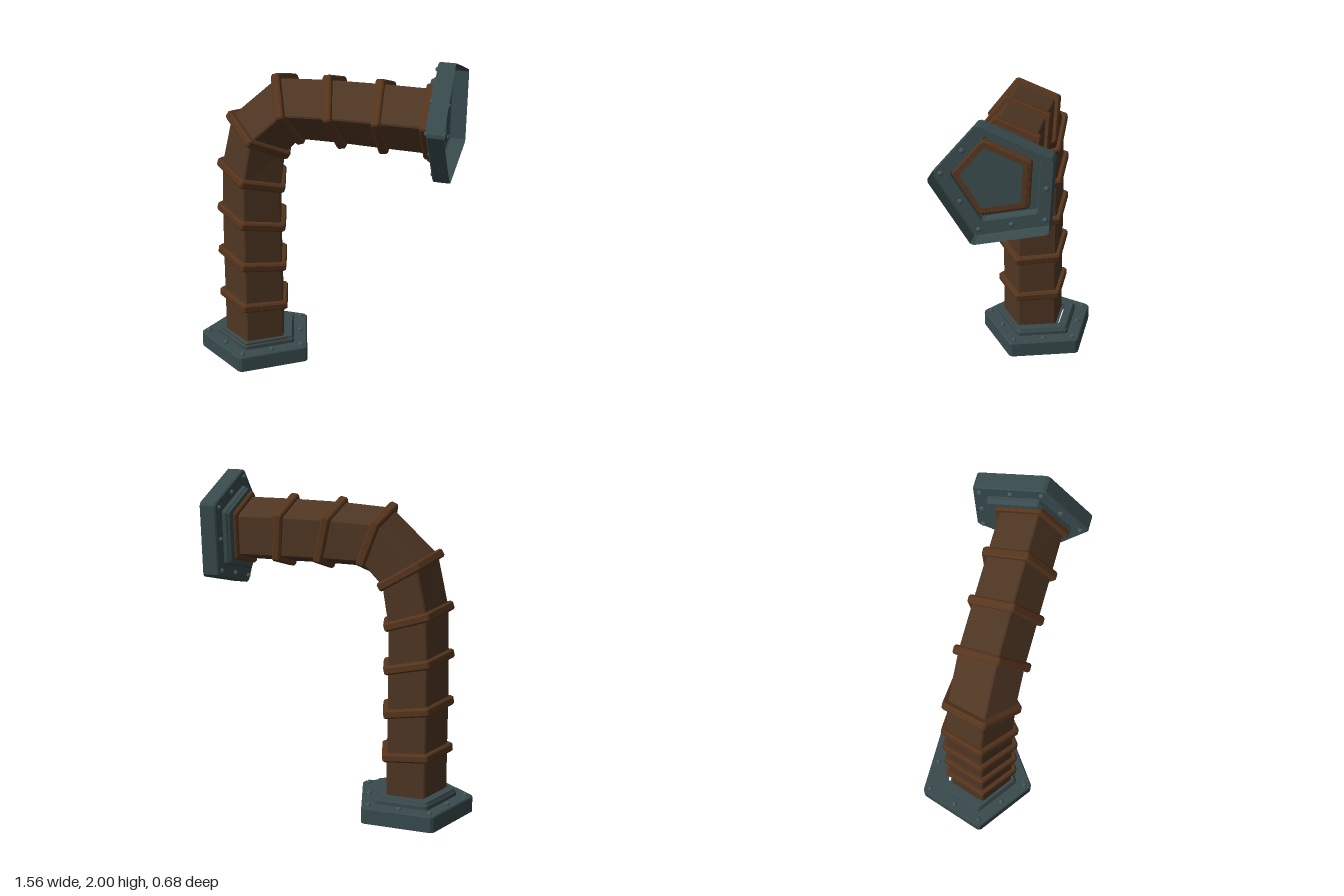
import * as THREE from 'three';

const mat = (name, color, side = THREE.FrontSide) =>
  new THREE.MeshStandardMaterial({ name, color, side, flatShading: true });

// Point i (0..9) of a pentagon with clipped corners, one corner facing +z
function pentagonPoint(i, R, twist, clip = 0.03) {
  const corner = k => {
    const a = (k * 72 + twist) * Math.PI / 180;
    return new THREE.Vector2(Math.sin(a) * R, Math.cos(a) * R);
  };
  const k = Math.floor(i / 2);
  return corner(k).lerp(corner(i % 2 ? k + 1 : k - 1), clip);
}

// Skins pentagon sections { R, x, y, tilt, twist }; tilt leans the section toward +x
function loft(sections) {
  const loops = sections.map(({ R, x = 0, y = 0, tilt = 0, twist = 0 }) => {
    const t = tilt * Math.PI / 180;
    return Array.from({ length: 10 }, (_, i) => {
      const p = pentagonPoint(i, R, twist);
      return [x + p.x * Math.cos(t), y - p.x * Math.sin(t), p.y];
    });
  });
  const pos = [];
  for (let s = 0; s < loops.length - 1; s++) {
    const a = loops[s], b = loops[s + 1];
    for (let i = 0; i < 10; i++) {
      const j = (i + 1) % 10;
      pos.push(...a[i], ...a[j], ...b[j], ...a[i], ...b[j], ...b[i]);
    }
  }
  const g = new THREE.BufferGeometry();
  g.setAttribute('position', new THREE.Float32BufferAttribute(pos, 3));
  g.computeVertexNormals();
  return g;
}

// Straight loft from [radius, height] pairs
const profile = pairs => loft(pairs.map(([R, y]) => ({ R, y })));

function addMesh(parent, name, geometry, material) {
  const m = new THREE.Mesh(geometry, material);
  m.name = name;
  parent.add(m);
  return m;
}

export function createModel() {
  const model = new THREE.Group();
  model.name = 'pentagonalPipe';
  const pipeBrown = mat('pipe brown', 0x4f3623, THREE.DoubleSide);
  const bandBrown = mat('band brown', 0x56351d);
  const steel = mat('dark steel', 0x384a4d, THREE.DoubleSide);
  const rivetSteel = mat('rivet steel', 0x45575b);

  // Bent pipe: a section at each band, straight between them
  const stations = [
    { x: -0.435, y: 0.125, tilt: 0 },
    { x: -0.435, y: 0.38, tilt: 5 },
    { x: -0.438, y: 0.658, tilt: 9.5 },
    { x: -0.437, y: 0.934, tilt: 13 },
    { x: -0.433, y: 1.205, tilt: 18 },
    { x: -0.383, y: 1.467, tilt: 31 },
    { x: -0.196, y: 1.645, tilt: 69 },
    { x: 0.085, y: 1.654, tilt: 77.5, twist: -1 },
    { x: 0.365, y: 1.653, tilt: 86, twist: -2 },
    { x: 0.655, y: 1.65, tilt: 90, twist: -3 },
  ];
  addMesh(model, 'pipe', loft(stations.map(s => ({ R: 0.202, ...s }))), pipeBrown);

  // Raised bands around the pipe
  const bandGeo = profile([
    [0.19, -0.026], [0.226, -0.026], [0.236, -0.016],
    [0.236, 0.016], [0.226, 0.026], [0.19, 0.026],
  ]);
  const placeBand = (name, { x, y, tilt, twist = 0 }) => {
    const pivot = new THREE.Group();
    pivot.name = name;
    pivot.position.set(x, y, 0);
    pivot.rotation.z = -tilt * Math.PI / 180;
    addMesh(pivot, 'bandRing', bandGeo, bandBrown).rotation.y = twist * Math.PI / 180;
    model.add(pivot);
  };
  stations.slice(1, -1).forEach((s, i) => placeBand('band' + (i + 1), s));
  placeBand('endBand', { x: 0.642, y: 1.65, tilt: 90, twist: -3 });

  // Hollow flange with stepped collar, inner trim, cover panel and rivets
  const flangeGeo = profile([
    [0.372, 0], [0.372, 0.092], [0.364, 0.1], [0.27, 0.1],
    [0.27, 0.122], [0.262, 0.13], [0.255, 0.143], [0.195, 0.143],
  ]);
  const trimGeo = profile([
    [0.205, 0.118], [0.226, 0.112], [0.238, 0.118], [0.238, 0.138],
  ].map(([R, y]) => [R, y]));
  const panelGeo = profile([[0.21, 0.12], [0.0001, 0.12]]);
  const rivetGeo = new THREE.SphereGeometry(0.016, 8, 6);

  function makeFlange(name, twist) {
    const pivot = new THREE.Group();
    pivot.name = name;
    const body = new THREE.Group();
    body.name = 'flangeBody';
    body.position.z = -0.032;
    body.rotation.y = twist * Math.PI / 180;
    pivot.add(body);
    addMesh(body, 'flangeShell', flangeGeo, steel);
    const inner = new THREE.Group();
    inner.name = 'innerCover';
    inner.rotation.y = body.rotation.y;
    inner.position.z = -0.008;
    pivot.add(inner);
    addMesh(inner, 'innerTrim', trimGeo, bandBrown);
    addMesh(inner, 'coverPanel', panelGeo, steel);
    for (let i = 0; i < 10; i++) {
      const a = i * Math.PI / 5, r = i % 2 ? 0.258 : 0.322;
      addMesh(body, 'rivet', rivetGeo, rivetSteel)
        .position.set(Math.sin(a) * r, 0.102, Math.cos(a) * r);
    }
    model.add(pivot);
    return pivot;
  }
  makeFlange('baseFlange', 0).position.x = -0.435;
  const end = makeFlange('endFlange', 3);
  end.position.set(0.778, 1.649, 0);
  end.rotation.z = Math.PI / 2;

  return model;
}
